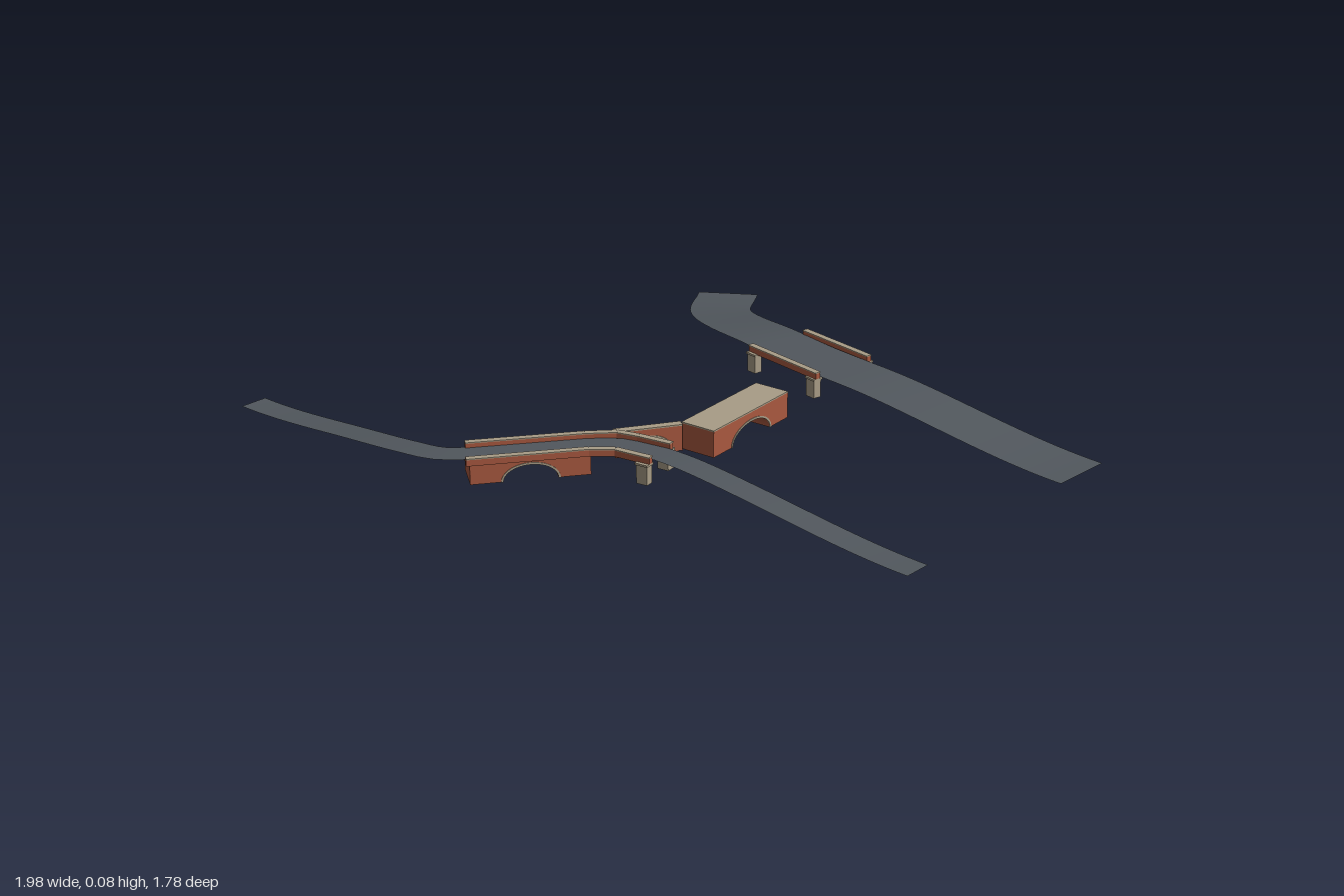
import * as THREE from 'three';

const mat = (color, side = THREE.FrontSide) => new THREE.MeshStandardMaterial({ color, side });
const asphalt = mat(0x51575d, THREE.DoubleSide);
const brick = mat(0xa8583f);
const stone = mat(0xa89c86);

function add(parent, name, geometry, material, x = 0, y = 0, z = 0) {
  const m = new THREE.Mesh(geometry, material);
  m.name = name;
  m.position.set(x, y, z);
  parent.add(m);
  return m;
}

// Thin ribbon along [x, z] points: level between s0 and s1, easing to the ground at both ends
function road(parent, name, points, width, height, x0, x1) {
  const curve = new THREE.CatmullRomCurve3(points.map(([x, z]) => new THREE.Vector3(x, 0, z)), false, 'centripetal');
  const n = 64, pos = [], idx = [];
  const samples = curve.getSpacedPoints(n);
  const sAt = x => samples.findIndex(p => p.x >= x) / n;
  const s0 = sAt(x0), s1 = sAt(x1);
  for (let i = 0; i <= n; i++) {
    const s = i / n, p = samples[i], t = curve.getTangentAt(s);
    const y = height * THREE.MathUtils.smoothstep(s, 0, s0) * THREE.MathUtils.smoothstep(1 - s, 0, 1 - s1);
    for (const k of [-0.5, 0.5]) pos.push(p.x - t.z * width * k, y, p.z + t.x * width * k);
    if (i < n) {
      const a = i * 2;
      idx.push(a, a + 1, a + 2, a + 1, a + 3, a + 2);
    }
  }
  const g = new THREE.BufferGeometry();
  g.setAttribute('position', new THREE.Float32BufferAttribute(pos, 3));
  g.setIndex(idx);
  g.computeVertexNormals();
  add(parent, name, g, asphalt);
}

// Group whose local x runs from a to b, centred between them
function span(parent, name, a, b) {
  const g = new THREE.Group(), dx = b[0] - a[0], dz = b[1] - a[1];
  g.name = name;
  g.position.set((a[0] + b[0]) / 2, 0, (a[1] + b[1]) / 2);
  g.rotation.y = Math.atan2(-dz, dx);
  parent.add(g);
  return [g, Math.hypot(dx, dz)];
}

// Brick parapet with stone coping along a polyline
function parapet(parent, points, thick = 0.015) {
  for (let i = 0; i + 1 < points.length; i++) {
    const [g, len] = span(parent, 'parapet', points[i], points[i + 1]);
    add(g, 'parapetWall', new THREE.BoxGeometry(len, 0.019, thick), brick, 0, 0.0675, 0);
    add(g, 'coping', new THREE.BoxGeometry(len, 0.003, thick + 0.005), stone, 0, 0.0785, 0);
  }
}

function pier(parent, [x, z], angle) {
  const g = new THREE.Group();
  g.name = 'pier';
  g.position.set(x, 0, z);
  g.rotation.y = angle;
  add(g, 'pierShaft', new THREE.BoxGeometry(0.034, 0.054, 0.026), stone, 0, 0.027, 0);
  add(g, 'pierCap', new THREE.BoxGeometry(0.04, 0.006, 0.032), stone, 0, 0.057, 0);
  parent.add(g);
}

function extrude(shape, depth) {
  return new THREE.ExtrudeGeometry(shape, { depth, bevelEnabled: false, curveSegments: 20 }).translate(0, 0, -depth / 2);
}

function archRing(rx, ry, t) {
  const s = new THREE.Shape();
  s.moveTo(rx + t, 0);
  s.absellipse(0, 0, rx + t, ry + t, 0, Math.PI, false, 0);
  s.lineTo(-rx, 0);
  s.absellipse(0, 0, rx, ry, Math.PI, 0, true, 0);
  return s;
}

// Hollow arched bridge body: side walls, barrel vault, end walls and deck
function archedBody(parent, name, a, b, width, height, rx, ry, deckMat) {
  const [g, len] = span(parent, name, a, b);
  const wall = new THREE.Shape(), h = len / 2, t = 0.012;
  wall.moveTo(-h, 0);
  wall.lineTo(-rx, 0);
  wall.absellipse(0, 0, rx, ry, Math.PI, 0, true, 0);
  wall.lineTo(h, 0);
  wall.lineTo(h, height);
  wall.lineTo(-h, height);
  for (const s of [-1, 1]) {
    add(g, 'sideWall', extrude(wall, t), brick, 0, 0, s * (width - t) / 2);
    add(g, 'archTrim', extrude(archRing(rx, ry, 0.006), 0.004), stone, 0, 0, s * width / 2);
    if (width > 0.05) add(g, 'endWall', new THREE.BoxGeometry(t, height, width - t), brick, s * (h - t / 2), height / 2, 0);
  }
  add(g, 'vault', extrude(archRing(rx, ry, 0.004), width - t), brick);
  add(g, 'deck', new THREE.BoxGeometry(len, 0.004, width), deckMat, 0, height + 0.002, 0);
}

export function createModel() {
  const model = new THREE.Group();
  model.name = 'roadBridges';

  // Wide road on four piers
  const wide = new THREE.Group();
  wide.name = 'wideRoadBridge';
  model.add(wide);
  road(wide, 'wideRoad', [[-0.92, -0.83], [-0.77, -0.69], [-0.585, -0.622], [-0.345, -0.6], [-0.08, -0.615],
    [0.22, -0.66], [0.785, -0.77]], 0.19, 0.066, -0.36, -0.04);
  const sides = [[[-0.345, -0.493], [-0.05, -0.516]], [[-0.35, -0.7], [-0.07, -0.722]]];
  for (const [a, b] of sides) {
    parapet(wide, [a, b]);
    for (const [p, inset] of [[a, 0.02], [b, -0.02]]) pier(wide, [p[0] + inset, p[1]], 0.07);
  }

  // Narrow winding road over an arched bridge
  const narrow = new THREE.Group();
  narrow.name = 'narrowRoadBridge';
  model.add(narrow);
  road(narrow, 'narrowRoad', [[-0.965, 0.835], [-0.62, 0.757], [-0.33, 0.695], [-0.21, 0.65], [-0.155, 0.58],
    [-0.09, 0.435], [-0.03, 0.305], [0.035, 0.215], [0.13, 0.173], [0.43, 0.103], [0.985, -0.025]],
  0.085, 0.064, -0.16, 0.14);
  archedBody(narrow, 'archedBridge', [-0.15, 0.6], [-0.022, 0.297], 0.105, 0.056, 0.075, 0.045, brick);
  parapet(narrow, [[-0.202, 0.575], [-0.07, 0.275], [-0.025, 0.198], [0.03, 0.165], [0.125, 0.122]]);
  parapet(narrow, [[-0.105, 0.63], [0.027, 0.325], [0.07, 0.267], [0.172, 0.222]]);
  pier(narrow, [0.108, 0.13], 0.4);
  pier(narrow, [0.155, 0.232], 0.4);

  // Side walkway linking the road to the free-standing platform
  archedBody(model, 'linkWall', [-0.038, 0.2], [0.024, 0.018], 0.025, 0.074, 0.065, 0.05, stone);
  archedBody(model, 'archedPlatform', [-0.0375, -0.34], [0.075, 0.0], 0.11, 0.076, 0.09, 0.05, stone);
  return model;
}
